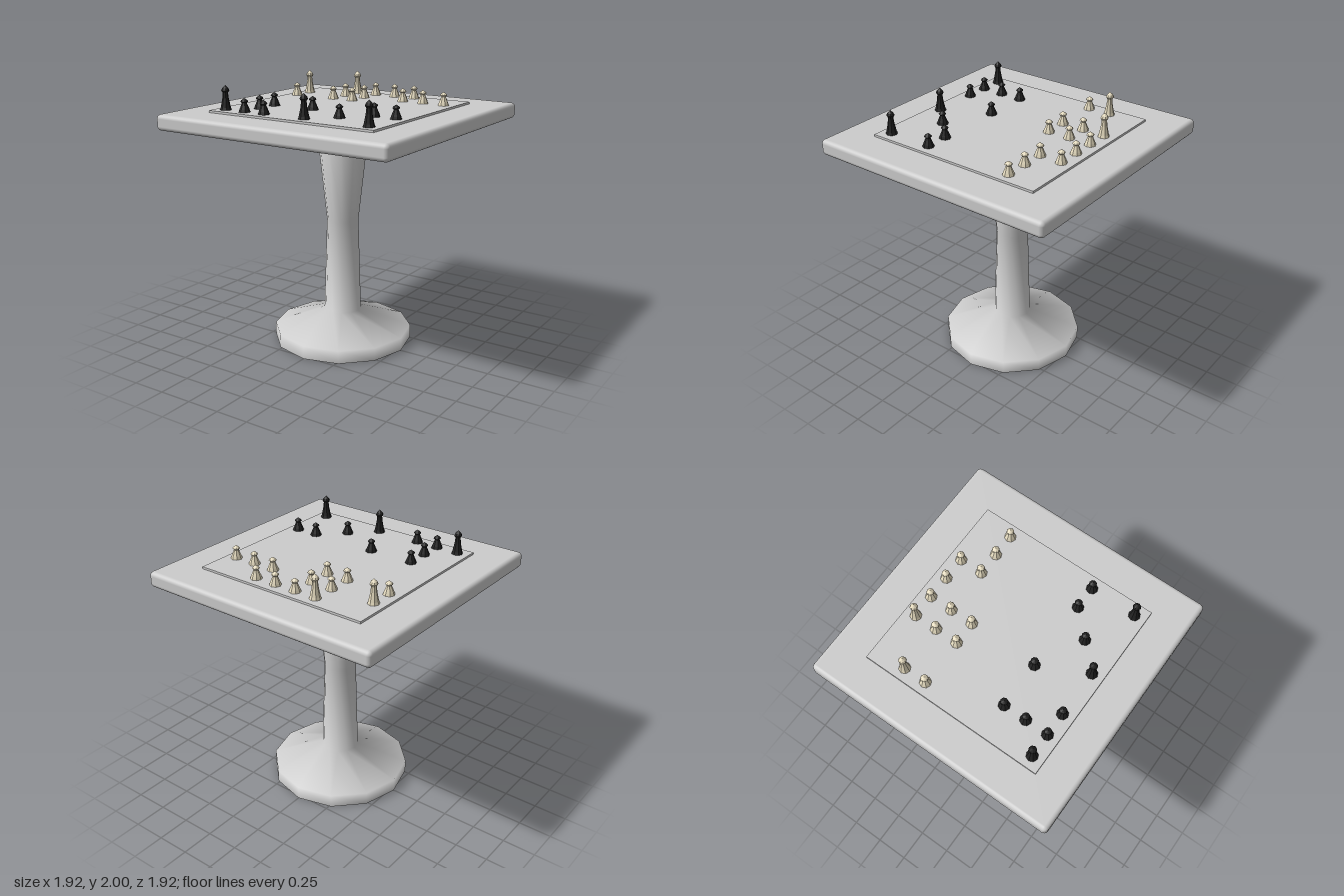
import * as THREE from 'three';
import { RoundedBoxGeometry } from 'three/addons/geometries/RoundedBoxGeometry.js';

const lathe = (profile, sides) =>
  new THREE.LatheGeometry(profile.map(([r, y]) => new THREE.Vector2(r, y)), sides);

// Faceted turned shape
function facetedLathe(profile, sides) {
  const g = lathe(profile, sides).toNonIndexed();
  g.computeVertexNormals();
  return g;
}

export function createModel() {
  const model = new THREE.Group();
  model.name = 'chessTable';

  const stone = new THREE.MeshStandardMaterial({ color: 0xcccccc, side: THREE.DoubleSide });
  stone.name = 'grey stone';
  const ivory = new THREE.MeshStandardMaterial({ color: 0xe6dcc0 });
  ivory.name = 'ivory';
  const ebony = new THREE.MeshStandardMaterial({ color: 0x222222 });
  ebony.name = 'ebony';

  const add = (parent, name, geometry, material, x, y, z) => {
    const mesh = new THREE.Mesh(geometry, material);
    mesh.name = name;
    mesh.position.set(x, y, z);
    parent.add(mesh);
  };

  // Twelve-sided pedestal, hollow underneath
  add(model, 'pedestal', lathe([
    [0.53, 0], [0.53, 0.1], [0.142, 0.24], [0.12, 0.96], [0.19, 1.612], [0, 1.69],
  ], 12), stone, 0, 0, 0);

  // Table top and the raised playing board
  add(model, 'tableTop', new RoundedBoxGeometry(1.92, 0.118, 1.92, 3, 0.032), stone, 0, 1.749, 0);
  add(model, 'board', new THREE.BoxGeometry(1.384, 0.02, 1.384), stone, 0, 1.814, 0);

  // Short and tall playing pieces
  const shortPiece = facetedLathe([
    [0.043, 0], [0.036, 0.022], [0.017, 0.067], [0.028, 0.078], [0.022, 0.086], [0, 0.102],
  ], 8);
  const tallPiece = facetedLathe([
    [0.043, 0], [0.036, 0.022], [0.023, 0.085], [0.019, 0.125], [0.029, 0.142], [0.022, 0.158], [0, 0.18],
  ], 8);

  // Squares as [column, row] counted from the back left; a third entry marks a tall piece
  const sets = [
    ['lightPieces', ivory, [
      [2, 0, 1], [3, 0], [4, 0], [5, 0],
      [0, 1, 1], [2, 1], [3, 1], [5, 1], [6, 1], [7, 1],
      [0, 2], [2, 2], [3, 2],
    ]],
    ['darkPieces', ebony, [
      [1, 5], [3, 5], [6, 5], [7, 5],
      [1, 6], [5, 6],
      [0, 7, 1], [1, 7], [2, 7], [4, 7, 1], [7, 7, 1],
    ]],
  ];
  const square = (i) => (i - 3.5) * 0.173;
  for (const [name, material, squares] of sets) {
    const group = new THREE.Group();
    group.name = name;
    for (const [col, row, tall] of squares) {
      add(group, tall ? 'tallPiece' : 'shortPiece', tall ? tallPiece : shortPiece,
        material, square(col), 1.822, square(row));
    }
    model.add(group);
  }
  return model;
}
